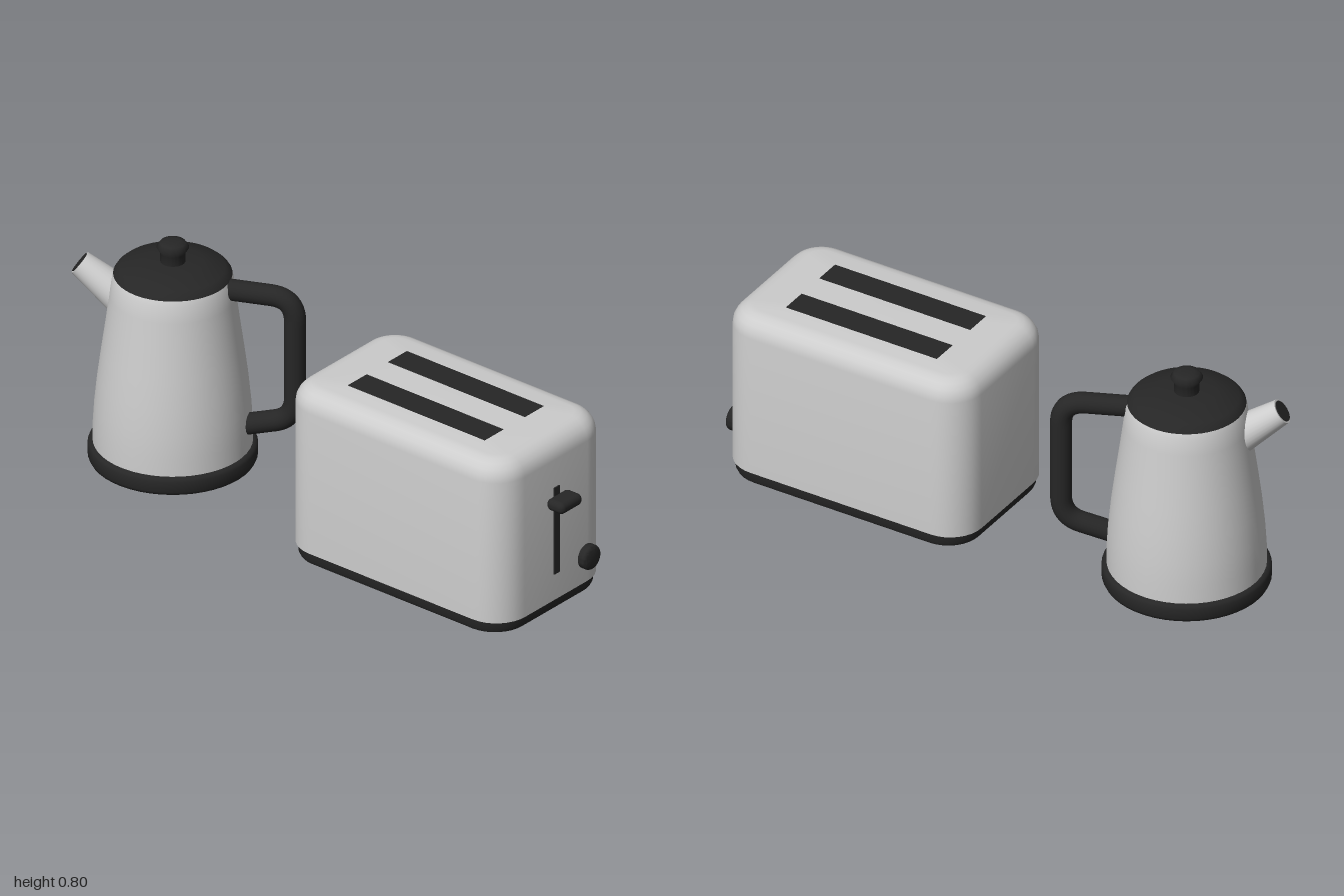
import * as THREE from 'three';
import { toCreasedNormals } from 'three/addons/utils/BufferGeometryUtils.js';
import { RoundedBoxGeometry } from 'three/addons/geometries/RoundedBoxGeometry.js';

const steel = new THREE.MeshStandardMaterial({ color: 0xcccccc });
steel.name = 'brushed steel';
const black = new THREE.MeshStandardMaterial({ color: 0x262626 });
black.name = 'black plastic';

function add(parent, name, geometry, material, x = 0, y = 0, z = 0) {
  const mesh = new THREE.Mesh(geometry, material);
  mesh.name = name;
  mesh.position.set(x, y, z);
  parent.add(mesh);
  return mesh;
}

function lathe(points, crease = 1) {
  const profile = points.map(([r, y]) => new THREE.Vector2(r, y));
  return toCreasedNormals(new THREE.LatheGeometry(profile, 48), crease);
}

// Connected rounded rectangles, given as [inset, height], closed by a cap at each end
function roundedLoft(halfX, halfZ, radius, levels, steps = 8) {
  const positions = [], index = [], n = 4 * (steps + 1);
  for (const [inset, y] of levels) {
    for (let c = 0; c < 4; c++) {
      const sx = c === 0 || c === 3 ? 1 : -1, sz = c < 2 ? 1 : -1;
      for (let i = 0; i <= steps; i++) {
        const a = (c + i / steps) * Math.PI / 2, r = radius - inset;
        positions.push(sx * (halfX - radius) + r * Math.cos(a), y,
          sz * (halfZ - radius) + r * Math.sin(a));
      }
    }
  }
  for (let k = 0; k < levels.length - 1; k++) {
    for (let i = 0; i < n; i++) {
      const a = k * n + i, b = k * n + (i + 1) % n;
      index.push(a, a + n, b, b, a + n, b + n);
    }
  }
  // Flat caps fanned from their centres
  const bottom = positions.length / 3, top = (levels.length - 1) * n;
  positions.push(0, levels[0][1], 0, 0, levels[levels.length - 1][1], 0);
  for (let i = 0; i < n; i++) {
    const j = (i + 1) % n;
    index.push(bottom, i, j, bottom + 1, top + j, top + i);
  }
  const g = new THREE.BufferGeometry();
  g.setAttribute('position', new THREE.Float32BufferAttribute(positions, 3));
  g.setIndex(index);
  return toCreasedNormals(g, 0.75);
}

function createToaster() {
  const toaster = new THREE.Group();
  toaster.name = 'toaster';
  // Base frame, hollow underneath
  add(toaster, 'toasterBase', roundedLoft(0.457, 0.276, 0.12,
    [[0.014, 0.038], [0.014, 0], [0.006, 0], [0, 0.012], [0, 0.042]]), black);

  // Shell with a rounded upper edge
  const levels = [[0, 0.04]], r = 0.07;
  for (let i = 0; i <= 5; i++) {
    const a = i / 5 * Math.PI / 2;
    levels.push([r * (1 - Math.cos(a)), 0.628 - r + r * Math.sin(a)]);
  }
  add(toaster, 'toasterShell', roundedLoft(0.466, 0.279, 0.12, levels), steel);

  // Bread slots
  for (const side of [-1, 1]) {
    add(toaster, 'breadSlot', new THREE.BoxGeometry(0.577, 0.006, 0.095), black, 0, 0.6265, side * 0.102);
  }

  // Controls on the end wall
  add(toaster, 'leverTrack', new THREE.BoxGeometry(0.009, 0.32, 0.028), black, 0.466, 0.297, 0);
  add(toaster, 'lever', new RoundedBoxGeometry(0.072, 0.042, 0.11, 4, 0.019), black, 0.501, 0.412, 0);
  const knob = add(toaster, 'browningKnob', lathe(
    [[0, 0], [0.04, 0], [0.043, 0.005], [0.043, 0.025], [0.04, 0.031], [0.032, 0.034], [0, 0.035]]),
    black, 0.462, 0.137, -0.152);
  knob.rotation.z = -Math.PI / 2;
  return toaster;
}

function createKettle() {
  const kettle = new THREE.Group();
  kettle.name = 'kettle';
  add(kettle, 'kettleBase', lathe([[0, 0], [0.262, 0], [0.272, 0.005], [0.277, 0.016],
    [0.277, 0.052], [0.273, 0.061], [0.264, 0.066], [0, 0.066]]), black);

  // Tapered, gently bulging body
  add(kettle, 'kettleBody', lathe([[0.261, 0.06], [0.26, 0.13], [0.255, 0.21], [0.246, 0.3],
    [0.233, 0.4], [0.219, 0.5], [0.206, 0.6], [0.198, 0.66], [0.188, 0.681], [0, 0.681]]), steel);

  // Domed lid and its knob
  add(kettle, 'lid', lathe([[0, 0.678], [0.194, 0.678], [0.188, 0.688], [0.172, 0.702],
    [0.1, 0.721], [0, 0.724]]), black);
  add(kettle, 'lidKnob', lathe([[0.041, 0.715], [0.041, 0.755], [0.053, 0.775],
    [0.042, 0.792], [0.025, 0.796], [0, 0.796]], 1.3), black);

  // Tapered spout with a dark mouth
  const tip = new THREE.Vector3(-0.313, 0.67, 0), root = new THREE.Vector3(-0.15, 0.55, 0);
  const axis = tip.clone().sub(root), length = axis.length();
  const spout = new THREE.Group();
  spout.name = 'spout';
  spout.position.copy(root);
  spout.quaternion.setFromUnitVectors(new THREE.Vector3(0, 1, 0), axis.normalize());
  add(spout, 'spoutTube', new THREE.CylinderGeometry(0.043, 0.067, length, 28), steel, 0, length / 2, 0);
  add(spout, 'spoutMouth', new THREE.CylinderGeometry(0.037, 0.037, 0.004, 28), black, 0, length + 0.001, 0);
  kettle.add(spout);

  // Looped handle
  const p = (x, y) => new THREE.Vector3(x, y, 0);
  const path = new THREE.CurvePath();
  path.add(new THREE.LineCurve3(p(0.17, 0.645), p(0.33, 0.645)));
  path.add(new THREE.QuadraticBezierCurve3(p(0.33, 0.645), p(0.412, 0.645), p(0.412, 0.56)));
  path.add(new THREE.LineCurve3(p(0.412, 0.56), p(0.412, 0.28)));
  path.add(new THREE.QuadraticBezierCurve3(p(0.412, 0.28), p(0.412, 0.2), p(0.34, 0.182)));
  path.add(new THREE.LineCurve3(p(0.34, 0.182), p(0.22, 0.148)));
  add(kettle, 'handle', new THREE.TubeGeometry(path, 72, 0.036, 16), black);
  return kettle;
}

export function createModel() {
  const model = new THREE.Group();
  model.name = 'kettleAndToaster';
  const kettle = createKettle();
  kettle.position.x = -0.689;
  kettle.rotation.y = 0.42;
  const toaster = createToaster();
  toaster.position.x = 0.463;
  model.add(kettle, toaster);
  return model;
}
